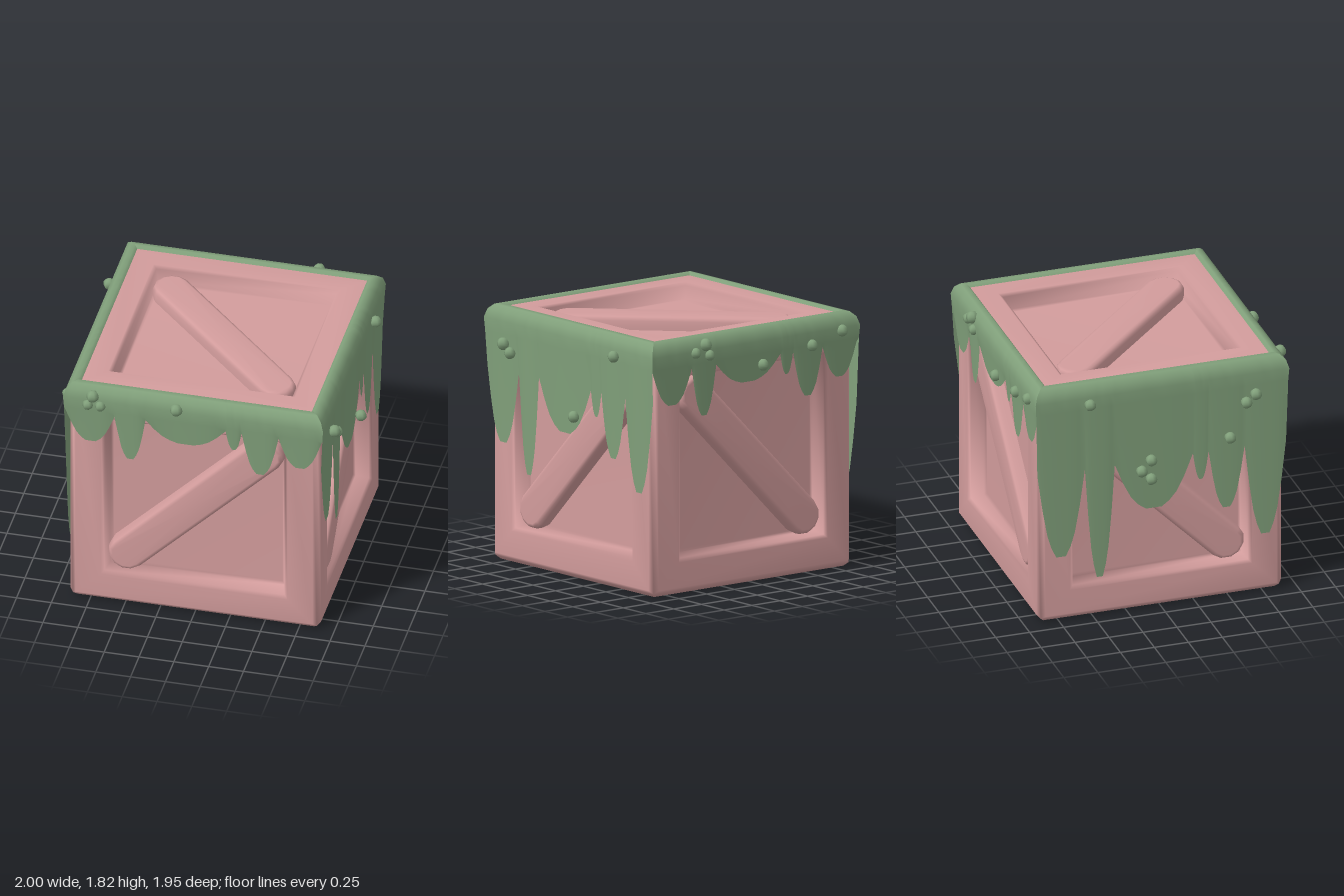
import * as THREE from 'three';
import { mergeGeometries, mergeVertices } from 'three/addons/utils/BufferGeometryUtils.js';

const H = 0.9; // half size of the crate

// Skin a list of rings (outer to inner) and close the last one with a fan.
function loft(rings) {
  const n = rings[0].length, pos = [], index = [];
  rings.forEach(r => r.forEach(p => pos.push(...p)));
  for (let k = 0; k < rings.length - 1; k++) {
    for (let i = 0; i < n; i++) {
      const j = (i + 1) % n, a = k * n, b = a + n;
      index.push(a + i, a + j, b + j, a + i, b + j, b + i);
    }
  }
  const last = (rings.length - 1) * n;
  pos.push(0, 0, rings[rings.length - 1][0][2]);
  for (let i = 0; i < n; i++) index.push(last + i, last + (i + 1) % n, rings.length * n);
  const geo = new THREE.BufferGeometry();
  geo.setAttribute('position', new THREE.Float32BufferAttribute(pos, 3));
  geo.setIndex(index);
  return geo;
}

// One crate side: bevelled frame around a sunken panel.
function crateSide() {
  const profile = [[0.875, 0.875], [0.85, 0.9], [0.67, 0.9], [0.645, 0.88], [0.625, 0.79], [0.605, 0.775]];
  return loft(profile.map(([s, z]) => [[-s, -s, z], [s, -s, z], [s, s, z], [-s, s, z]]));
}

// Round-ended brace with a softened edge.
function braceGeometry() {
  const ring = (r, z) => {
    const pts = [];
    for (const side of [1, -1]) {
      for (let i = 0; i <= 6; i++) {
        const a = -Math.PI / 2 + (i / 6) * Math.PI;
        pts.push([side * (0.7 + r * Math.cos(a)), side * r * Math.sin(a), z]);
      }
    }
    return pts;
  };
  const geo = loft([ring(0.137, 0.77), ring(0.135, 0.84), ring(0.122, 0.865), ring(0.1, 0.875)]);
  geo.computeVertexNormals();
  return geo;
}

// Slime sheet: a rim rolled over the top edge, then drips hanging between valleys.
const VALLEYS = [-0.915, -0.565, -0.345, 0.23, 0.345, 0.61, 0.915];
const DRIP = [[0, 0], [0.11, 0.42], [0.21, 0.72], [0.3, 0.88], [0.4, 0.99], [0.6, 0.99], [0.7, 0.88], [0.79, 0.72], [0.89, 0.42]];
function slimeGeometry(valley, bottoms) {
  const columns = [];
  bottoms.forEach((low, k) => {
    const a = VALLEYS[k], b = VALLEYS[k + 1];
    DRIP.forEach(([t, d]) => columns.push([(a + (b - a) * t) / 0.915, valley + (low - valley) * d]));
  });
  columns.push([1, valley]);
  const pos = [], index = [], rows = 7;
  columns.forEach(([u, y]) => {
    const section = [[0.825, 1.8], [0.845, 1.82], [0.88, 1.815], [0.915, 1.78], [0.933, 1.72], [0.927, 1.63], [0.915, y]];
    section.forEach(([z, h]) => pos.push(u * z, h - H, z));
  });
  for (let i = 0; i < columns.length - 1; i++) {
    for (let j = 0; j < rows - 1; j++) {
      const a = i * rows + j, d = a + rows;
      index.push(a, a + 1, d + 1, a, d + 1, d);
    }
  }
  const geo = new THREE.BufferGeometry();
  geo.setAttribute('position', new THREE.Float32BufferAttribute(pos, 3));
  geo.setIndex(index);
  geo.computeVertexNormals();
  return geo;
}

export function createModel() {
  const wood = new THREE.MeshStandardMaterial({ color: 0xd29c9c });
  wood.name = 'pink wood';
  const slime = new THREE.MeshStandardMaterial({ color: 0x809f7a, side: THREE.DoubleSide });
  slime.name = 'green slime';

  const model = new THREE.Group();
  model.name = 'slimyCrate';
  const add = (parent, geo, mat, name) => {
    const mesh = new THREE.Mesh(geo, mat);
    mesh.name = name;
    parent.add(mesh);
    return mesh;
  };

  const shortDrips = [1.36, 1.25, 1.44, 1.45, 1.27, 1.37];
  // Bubbles are [x, y, radius] on each side.
  const sides = [
    { name: 'front', rot: [0, 0], lean: 1, valley: 1.6, drips: shortDrips, out: 0.935,
      bubbles: [[-0.72, 1.755, 0.045], [-0.755, 1.68, 0.038], [-0.665, 1.68, 0.038], [-0.12, 1.735, 0.045]] },
    { name: 'left', rot: [0, Math.PI / 2], lean: 1, valley: 1.38, drips: [0.85, 0.66, 1.03, 1.2, 0.93, 0.73], out: 0.958,
      bubbles: [[-0.69, 1.57, 0.045], [-0.615, 1.515, 0.042], [0.53, 1.675, 0.042], [0.09, 1.175, 0.042]] },
    { name: 'back', rot: [0, Math.PI], lean: -1, valley: 1.6, drips: shortDrips, out: 0.935,
      bubbles: [[-0.455, 1.76, 0.045], [-0.545, 1.71, 0.038], [-0.42, 1.68, 0.038],
        [0.06, 1.55, 0.042], [0.5, 1.63, 0.042], [0.77, 1.7, 0.042]] },
    { name: 'right', rot: [0, -Math.PI / 2], lean: -1, valley: 1.16, drips: [0.5, 0.3, 0.78, 0.95, 0.7, 0.45], out: 0.958,
      bubbles: [[0.68, 1.57, 0.042], [0.61, 1.515, 0.042], [-0.54, 1.675, 0.042], [0.49, 1.26, 0.042],
        [-0.09, 1.175, 0.042], [-0.16, 1.1, 0.042], [-0.09, 1.03, 0.042]] },
    { name: 'top', rot: [-Math.PI / 2, 0], lean: -1 },
    { name: 'bottom', rot: [Math.PI / 2, 0], lean: 1 },
  ];

  const brace = braceGeometry();
  const shells = [];
  for (const s of sides) {
    const group = new THREE.Group();
    group.name = s.name + 'Side';
    group.position.y = H;
    group.rotation.set(s.rot[0], s.rot[1], 0);
    model.add(group);

    group.updateMatrix();
    shells.push(crateSide().applyMatrix4(group.matrix));
    add(group, brace, wood, s.name + 'Brace').rotation.z = s.lean * Math.PI / 4;

    if (!s.drips) continue;
    add(group, slimeGeometry(s.valley, s.drips), slime, s.name + 'Slime');
    for (const [x, y, r] of s.bubbles) {
      const bubble = add(group, new THREE.SphereGeometry(r, 6, 8), slime, s.name + 'Bubble');
      bubble.position.set(x, y - H, s.out);
      if (s.out > 0.95) bubble.rotation.y = Math.PI / 2;
    }
  }

  // Weld the six sides so the bevelled edges shade smoothly.
  const crate = mergeVertices(mergeGeometries(shells), 1e-4);
  crate.computeVertexNormals();
  add(model, crate, wood, 'crate');
  return model;
}
